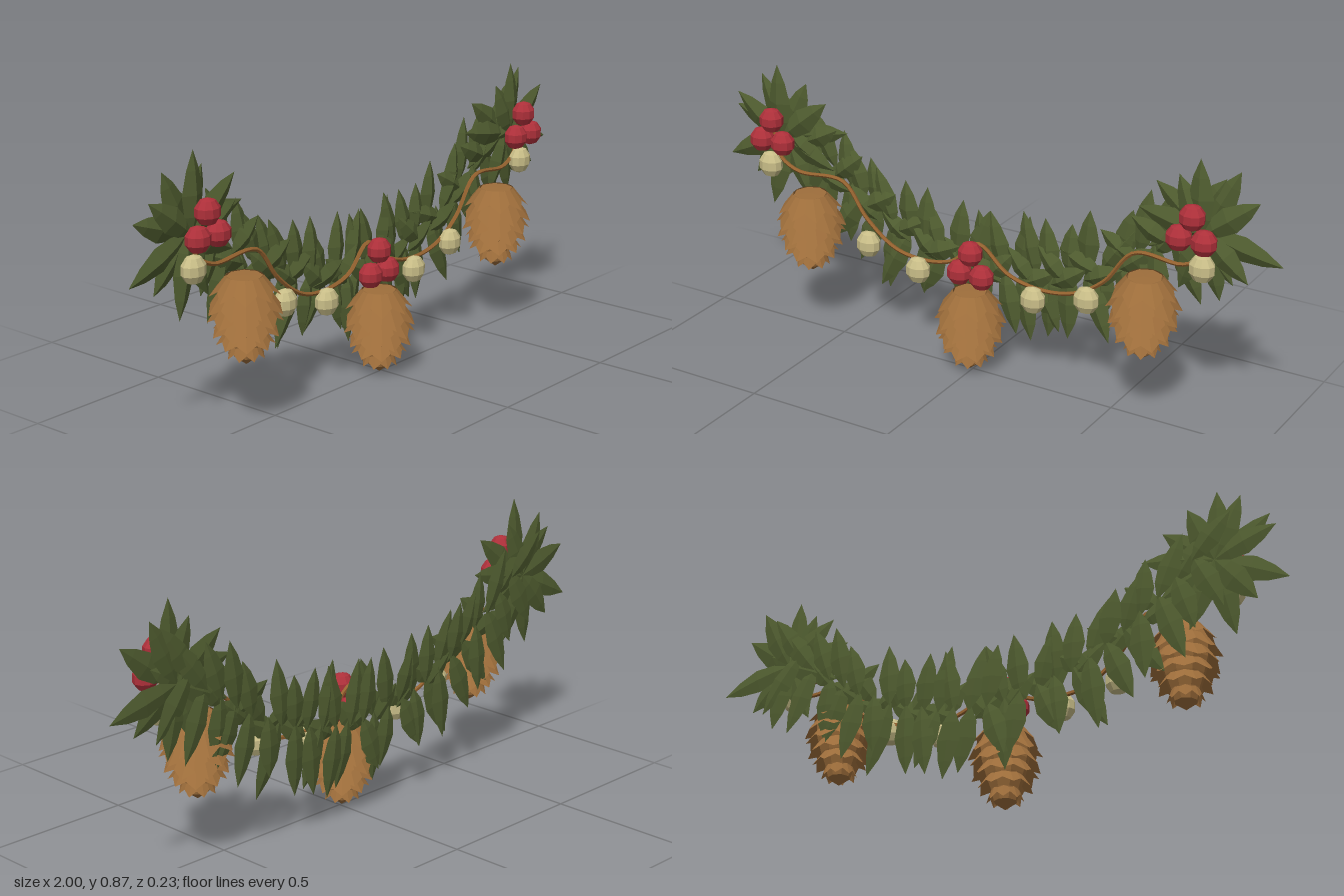
import * as THREE from 'three';

const mat = (name, color, side = THREE.FrontSide) => {
  const m = new THREE.MeshStandardMaterial({ color, side, flatShading: true });
  m.name = name;
  return m;
};

export function createModel() {
  const green = mat('leaf green', 0x505d30);
  const brown = mat('cone brown', 0x9e6e3b, THREE.DoubleSide);
  const red = mat('berry red', 0xae303a);
  const cream = mat('bauble cream', 0xc9be88);
  const twine = mat('twine brown', 0x95622f);

  const root = new THREE.Group();
  root.name = 'garland';
  let seed = 7;
  const rand = () => (seed = (seed * 16807) % 2147483647) / 2147483647;
  const jitter = (a) => (rand() * 2 - 1) * a;

  const add = (parent, name, geo, material, x = 0, y = 0, z = 0) => {
    const m = new THREE.Mesh(geo, material);
    m.name = name;
    m.position.set(x, y, z);
    parent.add(m);
    return m;
  };
  const group = (name) => {
    const g = new THREE.Group();
    g.name = name;
    root.add(g);
    return g;
  };

  // Unit leaf: a four-sided spindle, ridged in front and shallower behind
  const leafGeo = new THREE.LatheGeometry(
    [[0, 0], [0.72, 0.22], [1, 0.48], [0.62, 0.76], [0, 1]].map(([x, y]) => new THREE.Vector2(x, y)), 4);
  const leafPos = leafGeo.attributes.position;
  for (let i = 0; i < leafPos.count; i++) if (leafPos.getZ(i) < 0) leafPos.setZ(i, leafPos.getZ(i) * 0.5);
  const leaf = (parent, x, y, z, angle, length, width) => {
    const m = add(parent, 'leaf', leafGeo, green, x, y, z);
    m.scale.set(width, length, 0.019);
    m.rotation.set(jitter(0.05), 0, angle);
  };

  // Swag leaves: upper, lower and slanted middle rows along a hanging curve
  const swag = group('swagLeaves');
  const swagY = (x) => 0.305 + 0.66 * x * x;
  const count = 25;
  for (let i = 0; i < count; i++) {
    const x = -0.7 + (1.4 * i) / (count - 1);
    const y = swagY(x);
    leaf(swag, x, y, -0.096 + jitter(0.008), -x * 0.7 + jitter(0.35), 0.2 + jitter(0.025), 0.039);
    leaf(swag, x, y + 0.02, -0.1 + jitter(0.007), Math.PI + x * 0.7 + jitter(0.35), 0.225 + jitter(0.03), 0.041);
    const lean = (i % 2 ? 1 : -1) * (0.95 + jitter(0.3));
    leaf(swag, x, y - 0.02, -0.085 + jitter(0.008), lean, 0.15, 0.036);
  }

  // End rosettes: leaves reaching from a centre to each tip
  const rosette = (name, cx, cy, tips) => {
    const g = group(name);
    tips.forEach(([tx, ty], i) => {
      const dx = tx - cx, dy = ty - cy;
      leaf(g, cx, cy, i % 2 ? -0.093 : dy > 0.1 ? -0.06 : -0.08, Math.atan2(-dx, dy), Math.hypot(dx, dy), 0.042);
    });
  };
  rosette('rightRosette', -0.77, 0.62, [[-0.77, 0.875], [-0.69, 0.81], [-0.59, 0.77], [-0.53, 0.67],
    [-0.58, 0.53], [-0.68, 0.41], [-0.82, 0.37], [-0.9, 0.46], [-1, 0.51],
    [-0.97, 0.69], [-0.94, 0.75], [-0.86, 0.82]]);
  rosette('leftRosette', 0.75, 0.62, [[0.74, 0.865], [0.85, 0.83], [0.93, 0.76], [1, 0.56],
    [0.9, 0.49], [0.8, 0.4], [0.67, 0.42], [0.56, 0.53], [0.53, 0.66],
    [0.58, 0.75], [0.67, 0.8]]);

  // Twine draped over the swag
  const path = [[-0.79, 0.64], [-0.77, 0.56], [-0.7, 0.52], [-0.52, 0.52], [-0.43, 0.41], [-0.32, 0.33],
    [-0.2, 0.315], [-0.1, 0.34], [-0.01, 0.42], [0.1, 0.34], [0.22, 0.315], [0.34, 0.335], [0.44, 0.4],
    [0.54, 0.52], [0.7, 0.52], [0.76, 0.56], [0.77, 0.64]];
  const curve = new THREE.CatmullRomCurve3(path.map(([x, y]) => new THREE.Vector3(x, y, -0.046)));
  add(root, 'twine', new THREE.TubeGeometry(curve, 90, 0.007, 5), twine);

  // One ring of pine cone scales: a flared skirt with a shallow zigzag hem
  const n = 8;
  const scaleRing = (topY, topR, tipY, tipR, turn) => {
    const pos = [], idx = [];
    for (let i = 0; i <= 2 * n; i++) {
      const a = ((i + turn) * Math.PI) / n;
      const r = i % 2 ? topR + (tipR - topR) * 0.62 : tipR;
      const y = topY + (tipY - topY) * (i % 2 ? 0.62 : 1);
      pos.push(Math.sin(a) * topR, topY, Math.cos(a) * topR, Math.sin(a) * r, y, Math.cos(a) * r);
      if (i < 2 * n) idx.push(i * 2, i * 2 + 1, i * 2 + 2, i * 2 + 2, i * 2 + 1, i * 2 + 3);
    }
    const geo = new THREE.BufferGeometry();
    geo.setAttribute('position', new THREE.Float32BufferAttribute(pos, 3));
    geo.setIndex(idx);
    geo.computeVertexNormals();
    return geo;
  };
  const rings = [[0.275, 0.056, 0.212, 0.106], [0.228, 0.075, 0.168, 0.117], [0.188, 0.075, 0.132, 0.113],
    [0.148, 0.068, 0.097, 0.104], [0.11, 0.055, 0.062, 0.088], [0.072, 0.04, 0.024, 0.058]]
    .map(([a, b, c, d], i) => scaleRing(a, b, c, d, i % 2));
  const coreGeo = new THREE.LatheGeometry(
    [[0, 0], [0.036, 0.026], [0.046, 0.065], [0.062, 0.11], [0.076, 0.16], [0.08, 0.22], [0.054, 0.274], [0, 0.275]]
      .map(([x, y]) => new THREE.Vector2(x, y)), n);
  for (const [name, x, y] of [['rightPineCone', -0.62, 0.2], ['middlePineCone', -0.01, 0], ['leftPineCone', 0.6, 0.2]]) {
    const g = group(name);
    g.position.set(x, y, 0);
    add(g, 'coneCore', coreGeo, brown);
    rings.forEach((r) => add(g, 'scaleRing', r, brown));
  }

  // Berry clusters of three
  const berryGeo = new THREE.SphereGeometry(0.042, 10, 5);
  for (const [name, x, y] of [['rightBerries', -0.765, 0.627], ['middleBerries', -0.01, 0.33], ['leftBerries', 0.745, 0.627]]) {
    const g = group(name);
    for (const [dx, dy] of [[0, 0.073], [-0.041, 0], [0.041, 0]])
      add(g, 'berry', berryGeo, red, x + dx, y + dy, 0).scale.z = 0.9;
  }

  // Small baubles hung along the twine
  const baubles = group('baubles');
  const baubleGeo = new THREE.SphereGeometry(0.043, 10, 5);
  for (const [x, y] of [[-0.797, 0.53], [-0.415, 0.33], [-0.225, 0.283], [0.2, 0.283], [0.388, 0.33], [0.77, 0.53]])
    add(baubles, 'bauble', baubleGeo, cream, x, y, -0.03).scale.set(1, 1.06, 0.8);

  return root;
}
